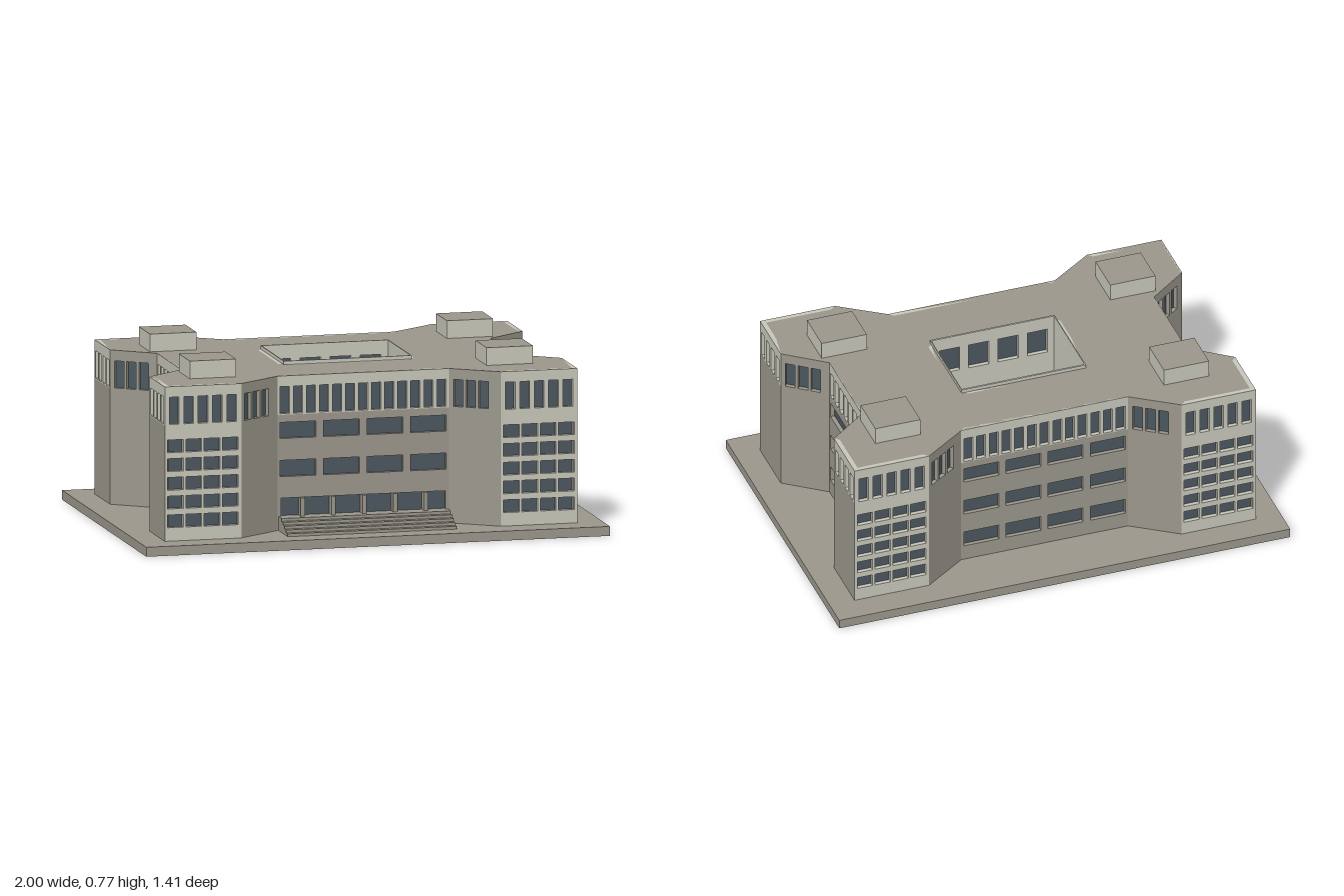
import * as THREE from 'three';

const BASE = 0.04, BAND = 0.53, ROOF = 0.695, DEPTH = 0.02;

export function createModel() {
  const model = new THREE.Group();
  const stone = new THREE.MeshStandardMaterial({ color: 0x9a968b });
  stone.name = 'warm grey stone';
  const pale = new THREE.MeshStandardMaterial({ color: 0xc6c6b9 });
  pale.name = 'pale concrete';
  const glass = new THREE.MeshStandardMaterial({ color: 0x4a565e });
  glass.name = 'dark glass';

  function add(name, geometry, material, parent = model) {
    const mesh = new THREE.Mesh(geometry, material);
    mesh.name = name;
    parent.add(mesh);
    return mesh;
  }

  // Box given by its limits
  function box(name, x0, x1, y0, y1, z0, z1, material) {
    const g = new THREE.BoxGeometry(x1 - x0, y1 - y0, z1 - z0);
    g.translate((x0 + x1) / 2, (y0 + y1) / 2, (z0 + z1) / 2);
    return add(name, g, material);
  }

  // Row of equal window openings: [x0, x1, y0, y1]
  function row(start, count, width, pitch, y0, y1) {
    return Array.from({ length: count }, (_, i) =>
      [start + i * pitch, start + i * pitch + width, y0, y1]);
  }

  // Wall from a to b with openings cut through and glass set behind
  function wall(name, a, b, y0, y1, material, openings = []) {
    const dx = b[0] - a[0], dz = b[1] - a[1], length = Math.hypot(dx, dz);
    const group = new THREE.Group();
    group.name = name;
    group.position.set(a[0], 0, a[1]);
    group.rotation.y = Math.atan2(-dz, dx);
    model.add(group);

    const rect = (S, l, r, bottom, top) => new S([
      new THREE.Vector2(l, bottom), new THREE.Vector2(r, bottom),
      new THREE.Vector2(r, top), new THREE.Vector2(l, top)]);
    const shape = rect(THREE.Shape, 0, length, y0, y1);
    for (const o of openings) shape.holes.push(rect(THREE.Path, ...o));
    const g = new THREE.ExtrudeGeometry(shape, { depth: DEPTH, bevelEnabled: false });
    g.translate(0, 0, -DEPTH);
    // Mitre the rear ends so walls meet cleanly at corners
    const p = g.attributes.position;
    for (let i = 0; i < p.count; i++) {
      if (p.getZ(i) > -DEPTH / 2) continue;
      if (p.getX(i) < 1e-4) p.setX(i, DEPTH);
      else if (p.getX(i) > length - 1e-4) p.setX(i, length - DEPTH);
    }
    g.computeVertexNormals();
    add(name + 'Panel', g, material, group);

    if (openings.length) {
      const pane = new THREE.PlaneGeometry(length - DEPTH, y1 - y0);
      pane.translate(length / 2, (y0 + y1) / 2, -DEPTH * 0.9);
      add(name + 'Glass', pane, glass, group);
    }
  }

  // Ground slab
  box('plinth', -1, 1, 0, BASE, -0.705, 0.705, stone);

  // Footprint: front and right half, then the same turned by 180 degrees
  const half = [[-0.89, 0.587], [-0.56, 0.587], [-0.37, 0.455], [0.37, 0.455], [0.56, 0.587],
    [0.89, 0.587], [0.89, 0.33], [0.72, 0.2], [0.72, -0.2], [0.89, -0.33]];
  const outline = [...half, ...half.map(([x, z]) => [-x, -z])];

  // Window layouts
  const TOP = [0.535, 0.65];
  const floors = [[0.43, 0.498], [0.268, 0.337], [0.107, 0.177]];
  const towerGrid = [0, 1, 2, 3, 4].flatMap(i =>
    row(0.012, 4, 0.068, 0.079, 0.097 + i * 0.0795, 0.151 + i * 0.0795));
  const mainRow = ([y0, y1]) => row(0.012, 4, 0.155, 0.187, y0, y1);
  const entrance = [[0.015, 0.725, 0.1, 0.177]];
  const frontMain = [...mainRow(floors[0]), ...mainRow(floors[1]), ...entrance];
  const sideStrips = floors.map(([y0, y1]) => [0.012, 0.388, y0, y1]);

  const builders = {
    tower(a, b) {
      wall('towerFront', a, b, BASE, BAND, pale, towerGrid);
      wall('towerFrontTop', a, b, BAND, ROOF, pale, row(0.02, 5, 0.042, 0.062, ...TOP));
    },
    towerSide(a, b) {
      wall('towerSide', a, b, BASE, BAND, stone);
      wall('towerSideTop', a, b, BAND, ROOF, pale, row(0.018, 4, 0.04, 0.06, ...TOP));
    },
    angle(a, b) {
      wall('angledWall', a, b, BASE, ROOF, stone, row(0.02, 3, 0.043, 0.056, ...TOP));
    },
    main(a, b) {
      const isFront = a[1] > 0;
      wall(isFront ? 'frontWall' : 'backWall', a, b, BASE, BAND, stone,
        isFront ? frontMain : floors.flatMap(mainRow));
      wall('mainTop', a, b, BAND, ROOF, pale, row(0.012, 13, 0.04, 0.0563, ...TOP));
    },
    side(a, b) {
      wall('sideWall', a, b, BASE, BAND, stone, sideStrips);
      wall('sideTop', a, b, BAND, ROOF, pale, row(0.012, 7, 0.04, 0.056, ...TOP));
    },
  };
  const kinds = ['tower', 'angle', 'main', 'angle', 'tower',
    'towerSide', 'angle', 'side', 'angle', 'towerSide'];
  outline.forEach((a, i) => builders[kinds[i % 10]](a, outline[(i + 1) % outline.length]));

  // Flat roof with the courtyard opening
  const CX = 0.272, CZ = 0.188;
  const court = [[-CX, -CZ], [CX, -CZ], [CX, CZ], [-CX, CZ]];
  const toPlan = ([x, z]) => new THREE.Vector2(x, -z);
  const roofShape = new THREE.Shape(outline.map(toPlan));
  roofShape.holes.push(new THREE.Path(court.map(toPlan)));
  const roof = new THREE.ShapeGeometry(roofShape);
  roof.rotateX(-Math.PI / 2).translate(0, ROOF, 0);
  add('roof', roof, stone);

  // Courtyard walls, windows on the two long ones
  court.forEach((a, i) => {
    const windows = i % 2 ? [] : [TOP, ...floors.slice(1)].flatMap(([y0, y1]) =>
      row(0.035, 4, 0.09, 0.13, y0, y1));
    wall('courtWall', a, court[(i + 1) % 4], BASE, ROOF, pale, windows);
  });

  // Low parapet around the courtyard
  for (const s of [-1, 1]) {
    const z = s * (CZ + 0.004), x = s * (CX + 0.002);
    box('longParapet', -CX - 0.004, CX + 0.004, ROOF, 0.71, z - 0.004, z + 0.004, pale);
    box('shortParapet', x - 0.002, x + 0.002, ROOF, 0.71, -CZ, CZ, pale);
  }

  // Rooftop plant rooms: pale sides, stone top
  for (const sx of [-1, 1]) for (const sz of [-1, 1]) {
    const g = new THREE.BoxGeometry(0.2, 0.075, 0.183);
    g.translate(sx * 0.64, ROOF + 0.0375, sz * 0.333);
    add('plantRoom', g, [pale, pale, stone, pale, pale, pale]);
  }

  // Entrance steps, the highest one being the landing
  for (let i = 0; i < 5; i++) {
    box('entranceStep', -0.365, 0.365, BASE + i * 0.012, BASE + (i + 1) * 0.012,
      0.44, 0.608 - i * 0.025, stone);
  }

  // Entrance columns
  for (let i = -2; i <= 2; i++) {
    const x = i * 0.133;
    box('entranceColumn', x - 0.009, x + 0.009, 0.1, 0.178, 0.437, 0.476, stone);
  }

  return model;
}
